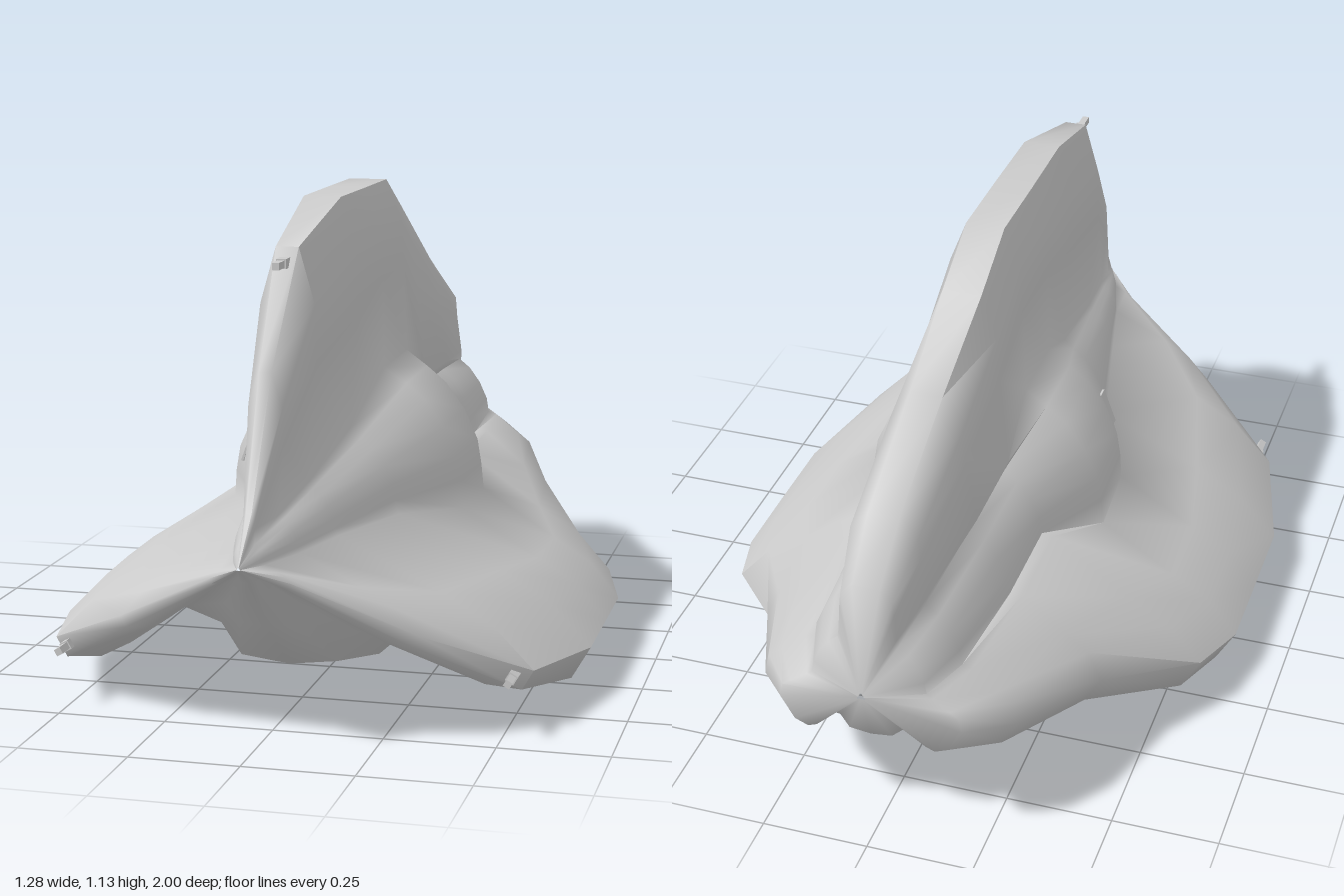
import * as THREE from 'three';
import { toCreasedNormals } from 'three/addons/utils/BufferGeometryUtils.js';

const AXIS_Y = 0.43;
const FIN_ANGLES = [Math.PI / 2, Math.PI * 7 / 6, Math.PI * 11 / 6];

// z, top fin radius, lower fin radius, tip half width, fin half width, root half width, side bulge, belly bulge
const STATIONS = [
  [1.0, 0.004, 0.004, 0.001, 0.001, 0.001, 0.003, 0.003],
  [0.92, 0.10, 0.10, 0.006, 0.013, 0.012, 0.035, 0.05],
  [0.79, 0.38, 0.38, 0.014, 0.040, 0.028, 0.07, 0.18],
  [0.61, 0.627, 0.627, 0.026, 0.065, 0.046, 0.105, 0.315],
  [0.31, 0.707, 0.71, 0.044, 0.085, 0.066, 0.17, 0.385],
  [0.08, 0.707, 0.71, 0.046, 0.088, 0.092, 0.275, 0.40],
  [-0.13, 0.707, 0.71, 0.046, 0.090, 0.100, 0.285, 0.40],
  [-0.30, 0.622, 0.655, 0.046, 0.088, 0.110, 0.19, 0.395],
  [-0.55, 0.50, 0.455, 0.038, 0.090, 0.115, 0.19, 0.255],
  [-0.83, 0.365, 0.325, 0.036, 0.082, 0.095, 0.17, 0.19],
  [-0.95, 0.257, 0.226, 0.032, 0.062, 0.066, 0.13, 0.14],
  [-1.0, 0.010, 0.010, 0.002, 0.003, 0.003, 0.006, 0.006],
];

// Cross-section: three fins, with round bulges at the sides and a squarer belly
function section([z, top, lower, tip, w, root, side, belly]) {
  const ring = [];
  FIN_ANGLES.forEach((angle, k) => {
    const c = Math.cos(angle), s = Math.sin(angle);
    const R = k === 0 ? top : lower;
    const add = (a, b) => ring.push([a * c - b * s, AXIS_Y + a * s + b * c, z]);
    const half = (B, isBelly) => [
      isBelly ? [B * 0.785, B * 0.65] : [B * 0.73, B * 0.7],
      isBelly ? [B * 0.8, B * 0.38] : [B * 0.87, B * 0.53],
      [B, isBelly ? Math.min(root, B * 0.22) : root],
      [(B + R) / 2, w],
      [R - (R - B) * 0.24, w * 0.95],
      [R, tip],
    ];
    const after = k === 1 ? belly : side;
    half(k === 2 ? belly : side, k === 2).forEach(([a, b]) => add(a, -b));
    half(after, k === 1).reverse().forEach(([a, b]) => add(a, b));
    add(after * 0.5, after * Math.sqrt(3) / 2);
  });
  return ring;
}

function loft(rings) {
  const n = rings[0].length, index = [];
  for (let i = 0; i < rings.length - 1; i++) {
    for (let j = 0; j < n; j++) {
      const a = i * n + j, c = i * n + (j + 1) % n;
      index.push(a, a + n, c, c, a + n, c + n);
    }
  }
  const geometry = new THREE.BufferGeometry();
  geometry.setAttribute('position', new THREE.Float32BufferAttribute(rings.flat(2), 3));
  geometry.setIndex(index);
  return toCreasedNormals(geometry, 1.15);
}

export function createModel() {
  const group = new THREE.Group();
  const material = new THREE.MeshStandardMaterial({ color: 0xcccccc });
  const add = (name, geometry, parent = group) => {
    const mesh = new THREE.Mesh(geometry, material);
    mesh.name = name;
    parent.add(mesh);
    return mesh;
  };

  add('hull', loft(STATIONS.map(section)));

  // A small tapered gun on the leading edge of every fin
  FIN_ANGLES.forEach((angle) => {
    const gun = new THREE.Group();
    gun.name = 'finGun';
    gun.position.set(0.595 * Math.cos(angle), AXIS_Y + 0.595 * Math.sin(angle), 0.63);
    gun.rotation.z = angle;
    group.add(gun);
    add('gunBase', new THREE.BoxGeometry(0.022, 0.022, 0.06), gun);
    add('gunBarrel', new THREE.BoxGeometry(0.016, 0.016, 0.05), gun).position.z = 0.05;
  });

  // Thin spikes under the belly
  const spike = (x, y, z, dx, dy, dz, length) => {
    const mesh = add('bellySpike', new THREE.ConeGeometry(0.004, length, 4));
    mesh.position.set(x, y, z);
    mesh.quaternion.setFromUnitVectors(new THREE.Vector3(0, 1, 0), new THREE.Vector3(dx, dy, dz).normalize());
  };
  for (const m of [-1, 1]) {
    spike(m * 0.057, 0.025, -0.155, m * 0.3, -1, -0.5, 0.05);
    spike(m * 0.165, 0.075, -0.14, m, -0.35, -0.2, 0.05);
  }

  // Slim blade on the right side bulge
  const blade = add('sideBlade', new THREE.BoxGeometry(0.006, 0.09, 0.05));
  blade.position.set(-0.225, 0.52, 0.14);
  blade.rotation.z = -0.35;

  return group;
}
